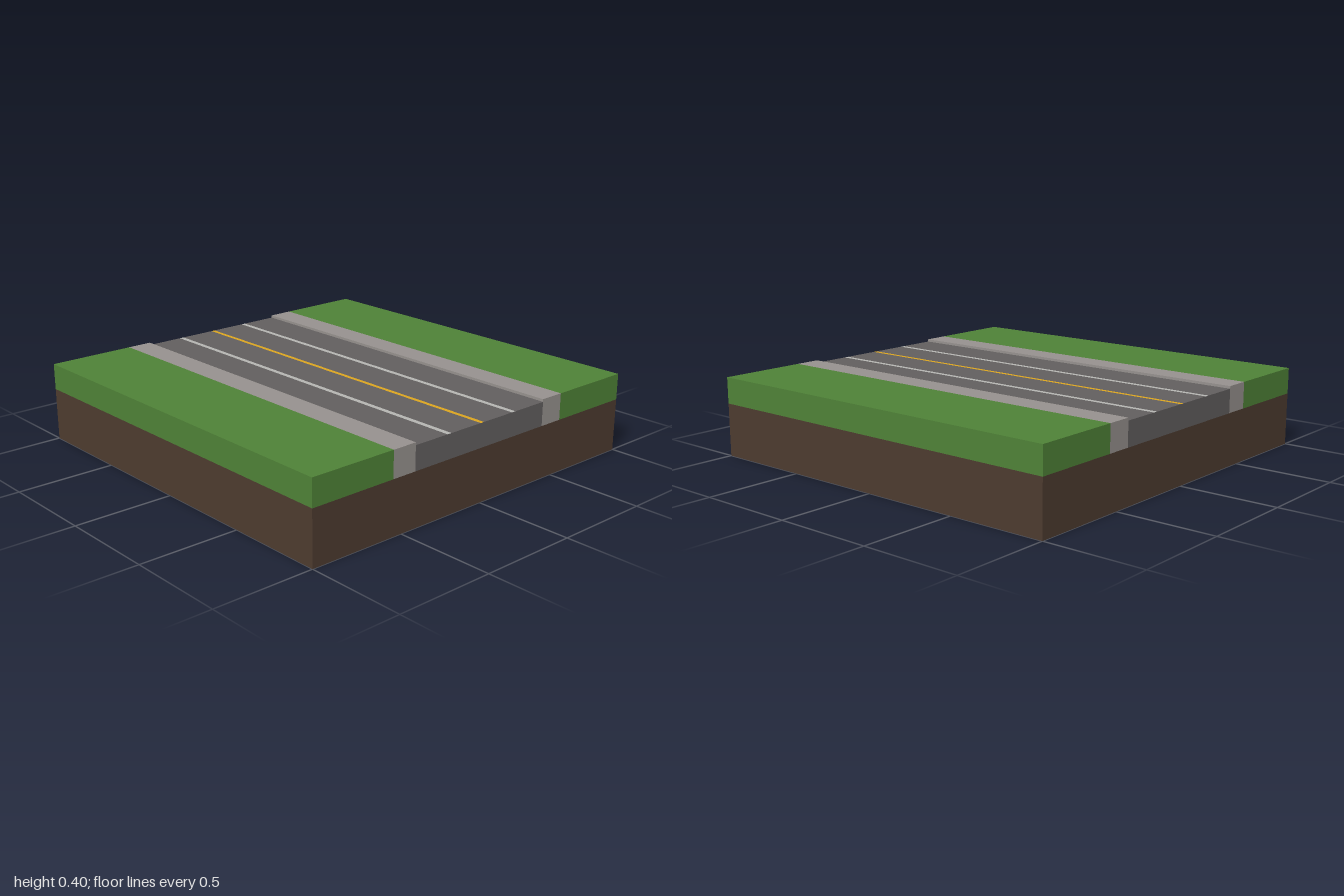
import * as THREE from 'three';

const SOIL_TOP = 0.267, TOP = 0.4, ROAD = 0.387;

const paint = (color) => new THREE.MeshStandardMaterial({ color, side: THREE.DoubleSide });
const grass = paint(0x4f8237), soil = paint(0x4d3b2f), curb = paint(0x96918e);
const asphalt = paint(0x625f5f), white = paint(0xb5b5b2), yellow = paint(0xdba520);

export function createModel() {
  const model = new THREE.Group();

  function panel(name, material, width, height, position, rotX = 0, rotY = 0) {
    const mesh = new THREE.Mesh(new THREE.PlaneGeometry(width, height), material);
    mesh.name = name;
    mesh.position.set(...position);
    mesh.rotation.set(rotX, rotY, 0);
    model.add(mesh);
  }
  // Horizontal strip running the full length, from x0 to x1
  const strip = (name, mat, x0, x1, y) =>
    panel(name, mat, x1 - x0, 2, [(x0 + x1) / 2, y, 0], -Math.PI / 2);
  // Matching end walls at front and back
  function ends(name, mat, x0, x1, y0, y1) {
    for (const s of [1, -1]) {
      panel(name, mat, x1 - x0, y1 - y0, [(x0 + x1) / 2, (y0 + y1) / 2, s], 0, s > 0 ? 0 : Math.PI);
    }
  }
  // Outward wall along the length, facing the given side
  const wall = (name, mat, x, y0, y1, facing) =>
    panel(name, mat, 2, y1 - y0, [x, (y0 + y1) / 2, 0], 0, facing * Math.PI / 2);

  // Surface strips on each half: grass, curb, asphalt lanes and lane lines
  for (const s of [1, -1]) {
    const side = s > 0 ? 'left' : 'right';
    const bands = [
      ['Grass', grass, 0.55, 1, TOP],
      ['Curb', curb, 0.42, 0.55, TOP],
      ['OuterLane', asphalt, 0.225, 0.42, ROAD],
      ['LaneLine', white, 0.2, 0.225, ROAD],
      ['InnerLane', asphalt, 0.011, 0.2, ROAD],
    ];
    for (const [name, mat, a, b, y] of bands) {
      strip(side + name, mat, Math.min(s * a, s * b), Math.max(s * a, s * b), y);
    }
    for (const [name, mat, a, b] of bands.slice(0, 2)) {
      ends(side + name + 'End', mat, Math.min(s * a, s * b), Math.max(s * a, s * b), SOIL_TOP, TOP);
    }
    wall(side + 'CurbStep', curb, s * 0.42, ROAD, TOP, -s);
    wall(side + 'GrassSide', grass, s, SOIL_TOP, TOP, s);
    wall(side + 'SoilSide', soil, s, 0, SOIL_TOP, s);
  }

  // Centre line and the remaining end walls; the underside stays open
  strip('centreLine', yellow, -0.011, 0.011, ROAD);
  ends('roadEnd', asphalt, -0.42, 0.42, SOIL_TOP, ROAD);
  ends('soilEnd', soil, -1, 1, 0, SOIL_TOP);

  return model;
}
